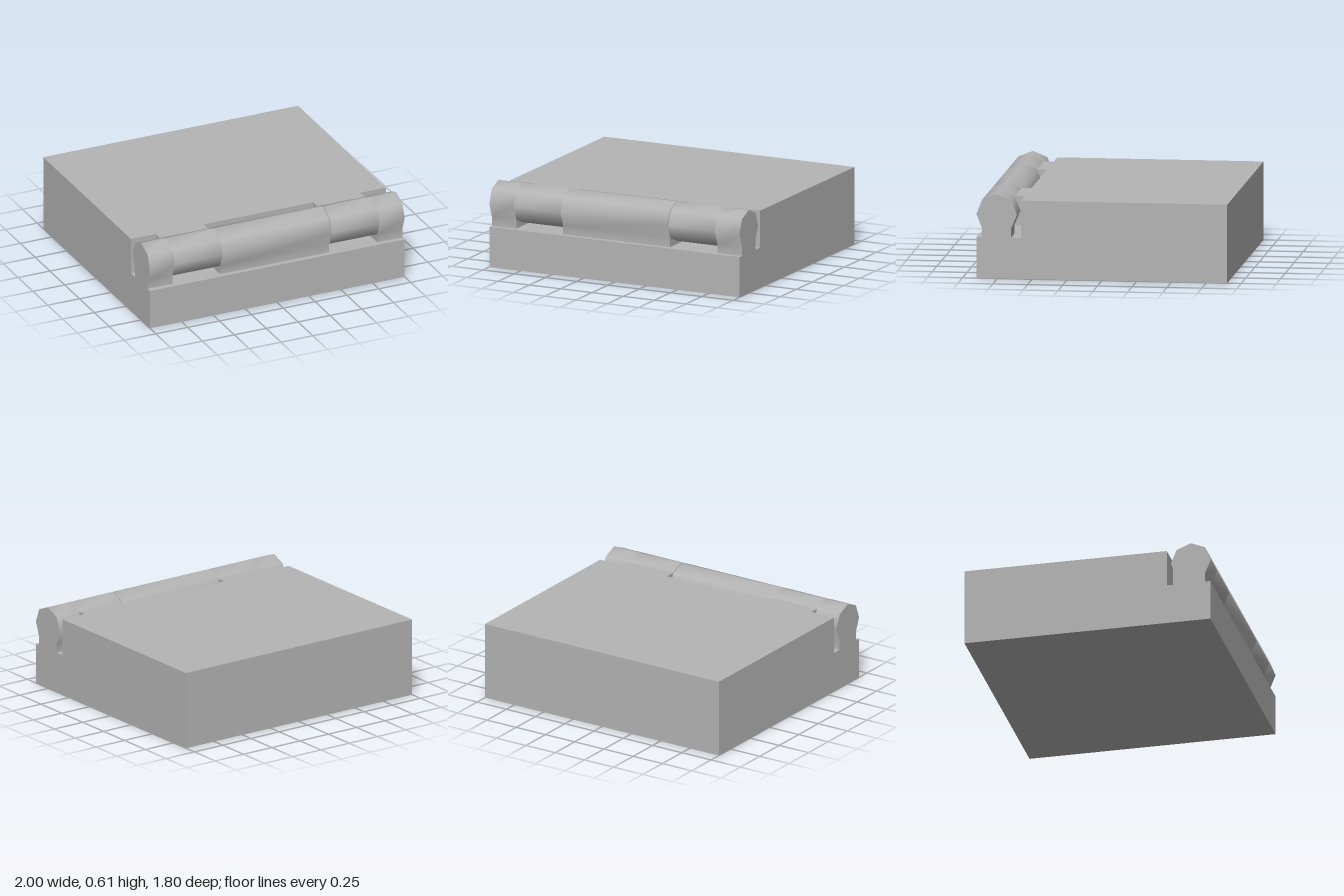
import * as THREE from 'three';
import { toCreasedNormals } from 'three/addons/utils/BufferGeometryUtils.js';

export function createModel() {
  const model = new THREE.Group();
  model.name = 'hingedBlock';
  const grey = new THREE.MeshStandardMaterial({ color: 0xb4b4b4 });
  grey.name = 'plainGrey';

  // Extrude a [z, y] side profile along x; gentle bends stay smooth
  function addProfile(name, points, x0, x1) {
    const shape = new THREE.Shape(points.map(([z, y]) => new THREE.Vector2(-z, y)));
    let geo = new THREE.ExtrudeGeometry(shape, { depth: x1 - x0, bevelEnabled: false });
    geo.rotateY(Math.PI / 2);
    geo.translate(x0, 0, 0);
    geo = toCreasedNormals(geo, 0.95);
    const mesh = new THREE.Mesh(geo, grey);
    mesh.name = name;
    model.add(mesh);
  }

  // Stepped body: low front ledge and tall rear block
  addProfile('body', [
    [0.9, 0], [0.9, 0.295], [0.58, 0.295], [0.58, 0.565], [-0.9, 0.565], [-0.9, 0],
  ], -1, 1);

  // Upper half of the eight-sided barrel, shared by posts and knuckles
  const crown = [
    [0.86, 0.36], [0.9, 0.462], [0.86, 0.565], [0.755, 0.608],
    [0.652, 0.565], [0.61, 0.462], [0.652, 0.36],
  ];

  // Posts: barrel sections standing on the ledge
  const post = [[0.86, 0.295], ...crown, [0.652, 0.295]];
  [[-1, -0.805], [-0.43, 0.424], [0.802, 1]].forEach(([a, b]) => addProfile('barrelPost', post, a, b));

  // Knuckles: barrel sections clear of the ledge, bridged back to the block
  const knuckle = [...crown, [0.755, 0.319]];
  const bridge = [[0.652, 0.36], [0.61, 0.462], [0.652, 0.565], [0.58, 0.565], [0.58, 0.36]];
  [[-0.805, -0.43], [0.428, 0.802]].forEach(([a, b]) => {
    addProfile('barrelKnuckle', knuckle, a, b);
    addProfile('knuckleBridge', bridge, a, b);
  });

  return model;
}
